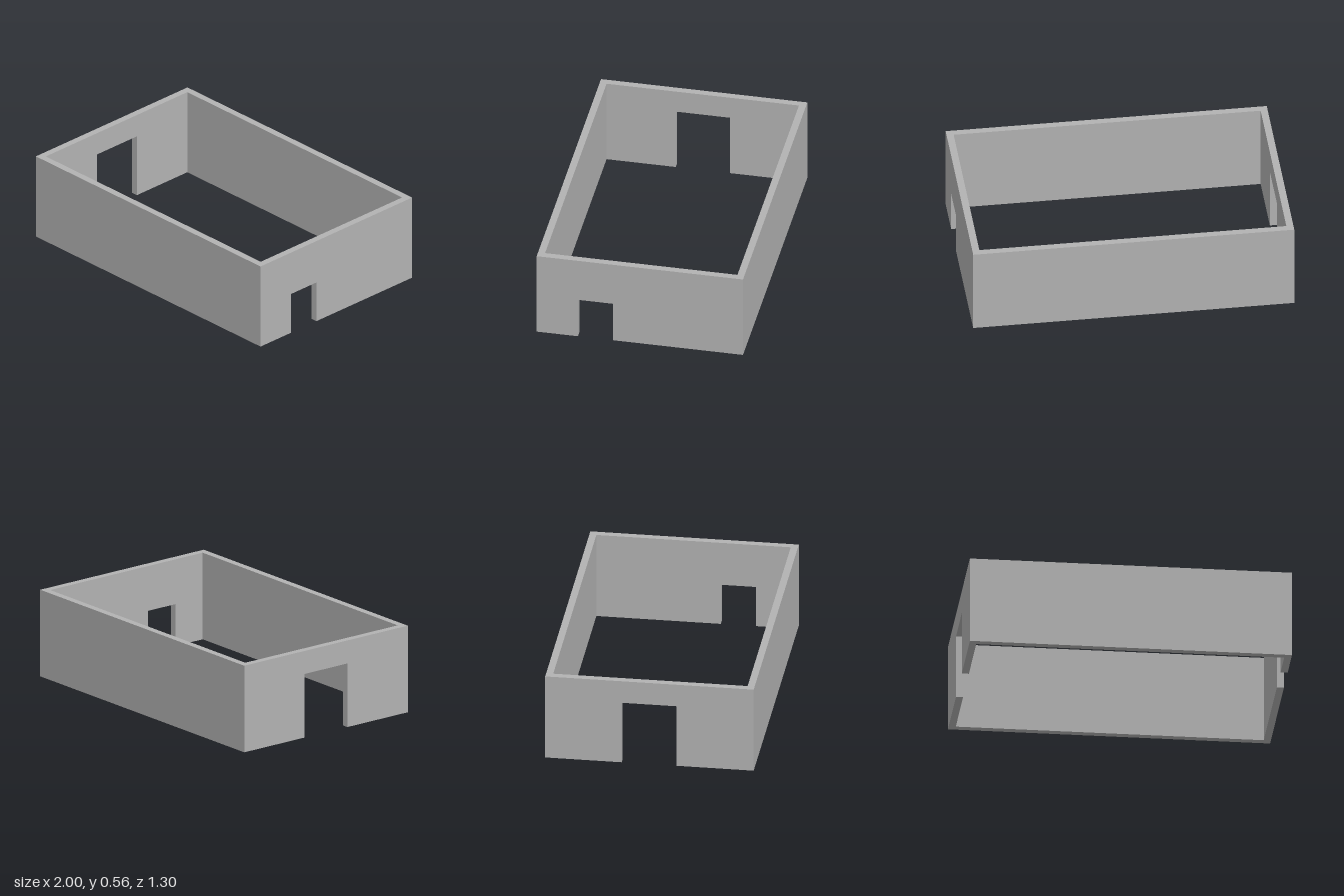
import * as THREE from 'three';

const HEIGHT = 0.561, HALF_X = 1, HALF_Z = 0.65, WALL = 0.044;

export function createModel() {
  const group = new THREE.Group();
  const grey = new THREE.MeshStandardMaterial({ color: 0xb2b2b2 });
  grey.name = 'wall grey';

  // Solid long wall, centred at the given z
  function longWall(name, z) {
    const geometry = new THREE.BoxGeometry(2 * HALF_X, HEIGHT, WALL);
    const wall = new THREE.Mesh(geometry, grey);
    wall.name = name;
    wall.position.set(0, HEIGHT / 2, z);
    group.add(wall);
  }

  // End wall between the long walls, with a doorway from z0 to z1
  function endWall(name, x, z0, z1, doorHeight) {
    const e = HALF_Z - WALL;
    // Outline is drawn with shape x = -z, then turned to stand along z
    const outline = [
      [-e, 0], [-z1, 0], [-z1, doorHeight], [-z0, doorHeight],
      [-z0, 0], [e, 0], [e, HEIGHT], [-e, HEIGHT],
    ].map(([u, v]) => new THREE.Vector2(u, v));
    const geometry = new THREE.ExtrudeGeometry(new THREE.Shape(outline), { depth: WALL, bevelEnabled: false });
    geometry.translate(0, 0, -WALL / 2);
    geometry.rotateY(Math.PI / 2);
    const wall = new THREE.Mesh(geometry, grey);
    wall.name = name;
    wall.position.x = x;
    group.add(wall);
  }

  longWall('frontWall', HALF_Z - WALL / 2);
  longWall('backWall', -HALF_Z + WALL / 2);
  endWall('leftWallWithSmallDoorway', HALF_X - WALL / 2, 0.17, 0.39, 0.271);
  endWall('rightWallWithLargeDoorway', -HALF_X + WALL / 2, -0.173, 0.17, 0.412);

  return group;
}
